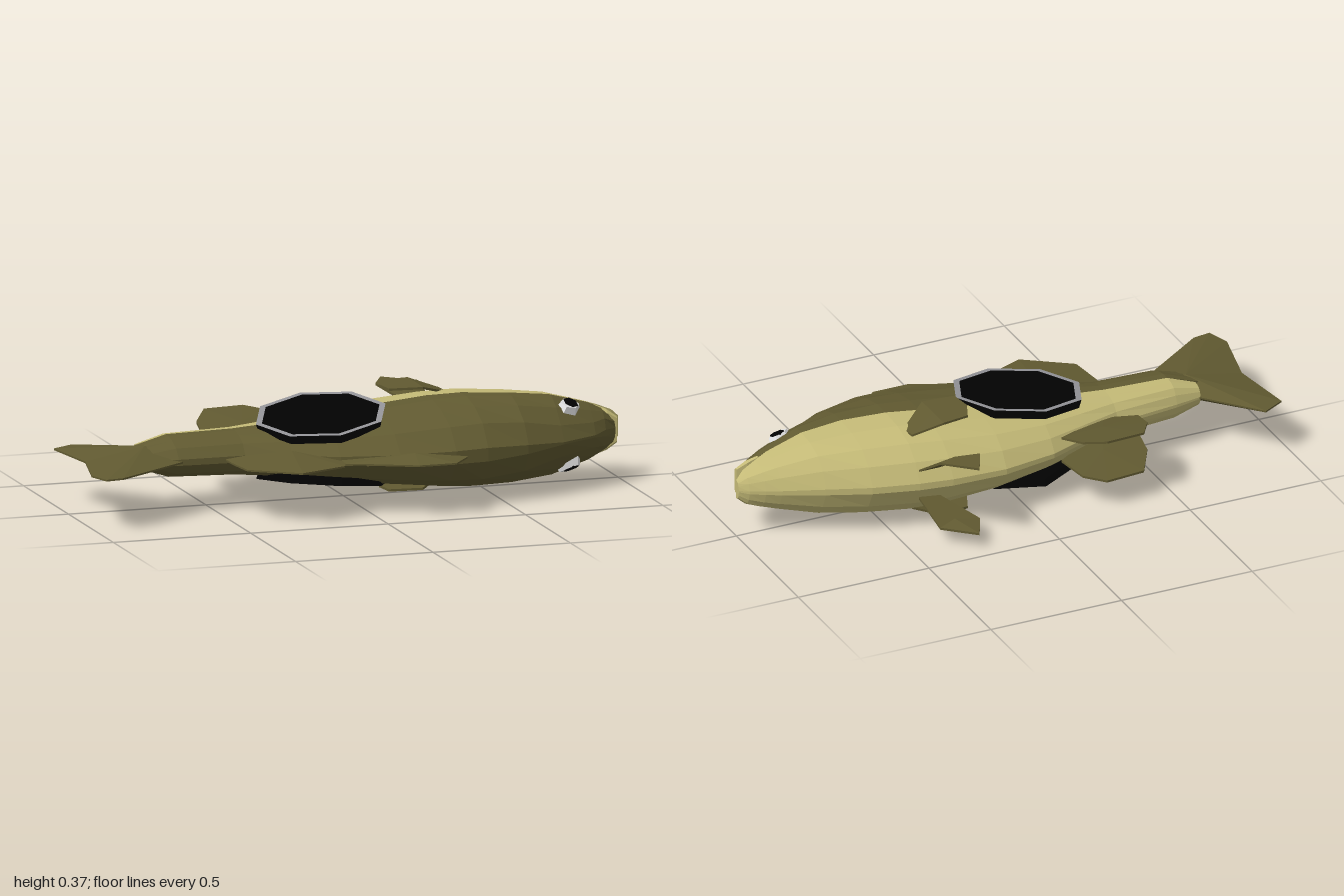
import * as THREE from 'three';

const mat = (name, color) => {
  const m = new THREE.MeshStandardMaterial({ color });
  m.name = name;
  return m;
};

// Unshared triangles give the faceted low-poly look
function facets(tris) {
  const g = new THREE.BufferGeometry();
  g.setAttribute('position', new THREE.Float32BufferAttribute(tris.flat(2), 3));
  g.computeVertexNormals();
  return g;
}
function faceted(geometry) {
  const g = geometry.toNonIndexed();
  g.computeVertexNormals();
  return g;
}

// Closed skin over equal rings running towards +x
function loft(rings) {
  const tris = [], n = rings[0].length;
  for (let i = 0; i < rings.length - 1; i++) {
    for (let j = 0; j < n; j++) {
      const k = (j + 1) % n;
      const a = rings[i][j], b = rings[i][k], c = rings[i + 1][k], d = rings[i + 1][j];
      tris.push([a, b, c], [a, c, d]);
    }
  }
  const first = rings[0], last = rings[rings.length - 1];
  for (let j = 1; j < n - 1; j++) {
    tris.push([first[0], first[j + 1], first[j]], [last[0], last[j], last[j + 1]]);
  }
  return facets(tris);
}

// Half of the body: stations are [x, z of seam, z of outer edge, half thickness, sharpness]
function halfBody(stations, profile, sign) {
  return loft(stations.map(([x, seam, edge, half, sharp = 1]) => {
    const side = profile.map(([t, w]) => [x, sign * w ** sharp * half, seam + (edge - seam) * t]);
    const other = side.map(([px, y, z]) => [px, -y, z]).reverse();
    return side.concat(other);
  }));
}

// Fin: two fans from a thick root point to an outline with a thin rim; height gives y
function finGeometry(outline, root, thick, rim = 0.003, height = () => 0) {
  let area = 0;
  outline.forEach(([x, z], i) => {
    const [x2, z2] = outline[(i + 1) % outline.length];
    area += x * z2 - x2 * z;
  });
  const pts = area > 0 ? [...outline].reverse() : outline;
  const at = ([x, z], offset) => [x, height(x, z) + offset, z];
  const tris = [];
  pts.forEach((p, i) => {
    const q = pts[(i + 1) % pts.length];
    const pt = at(p, rim), qt = at(q, rim), pb = at(p, -rim), qb = at(q, -rim);
    tris.push([at(root, thick), pt, qt], [at(root, -thick), qb, pb], [pt, pb, qb], [pt, qb, qt]);
  });
  return facets(tris);
}

export function createModel() {
  const olive = mat('olive skin', 0x615a31);
  const tan = mat('pale belly', 0xc4ba77);
  const black = mat('black', 0x020202);
  const grey = mat('grey rim', 0x949498);
  const white = mat('eye white', 0xe4e4e4);

  const model = new THREE.Group();
  model.name = 'fish';
  const fish = new THREE.Group();
  fish.name = 'fishLyingOnSide';
  fish.position.y = 0.185;
  model.add(fish);
  const add = (name, geometry, material, parent = fish) => {
    const m = new THREE.Mesh(geometry, material);
    m.name = name;
    parent.add(m);
    return m;
  };

  // Back and upper jaw
  add('back', halfBody([
    [-0.76, -0.03, 0.10, 0.035], [-0.64, -0.02, 0.128, 0.072], [-0.4, -0.015, 0.135, 0.078],
    [-0.25, -0.01, 0.2, 0.09], [-0.1, -0.01, 0.28, 0.106], [0.1, -0.01, 0.335, 0.13],
    [0.3, 0, 0.345, 0.152], [0.42, 0.02, 0.33, 0.159], [0.58, 0.045, 0.29, 0.153, 1.2],
    [0.73, 0.047, 0.228, 0.138, 1.9], [0.87, 0.037, 0.15, 0.1, 1.7], [0.92, 0.034, 0.11, 0.078],
    [0.97, 0.054, 0.066, 0.045],
  ], [[0, 1], [0.22, 1], [0.5, 0.88], [0.8, 0.62], [1, 0.15]], 1), olive);

  // Pale lip around the upper jaw
  add('upperLip', halfBody([
    [0.9, 0.032, 0.05, 0.088], [0.94, 0.036, 0.066, 0.072], [0.975, 0.05, 0.067, 0.047],
  ], [[0, 1], [0.6, 1], [1, 0.85]], 1), tan);

  // Belly and lower jaw
  add('belly', halfBody([
    [-0.74, -0.035, -0.08, 0.04], [-0.64, -0.02, -0.1, 0.072], [-0.4, -0.015, -0.13, 0.078],
    [-0.25, -0.01, -0.19, 0.09], [-0.1, -0.01, -0.25, 0.106], [0.1, -0.01, -0.285, 0.13],
    [0.3, 0, -0.277, 0.152], [0.42, 0.02, -0.258, 0.159], [0.58, 0.045, -0.215, 0.153],
    [0.73, 0.047, -0.155, 0.138], [0.87, 0.037, -0.095, 0.1], [0.92, 0.024, -0.072, 0.083],
    [0.97, 0.013, -0.045, 0.062], [1.0, 0.002, -0.02, 0.035],
  ], [[0, 1], [0.35, 0.96], [0.68, 0.8], [0.87, 0.5], [1, 0.08]], -1), tan);

  // Forked tail
  add('tailFin', finGeometry([
    [-0.7, -0.06], [-0.74, -0.085], [-0.9, -0.27], [-0.98, -0.225], [-0.945, 0.02],
    [-0.997, 0.25], [-0.97, 0.335], [-0.905, 0.325], [-0.62, 0.125], [-0.6, 0.08],
  ], [-0.73, 0.02], 0.045), olive);

  // Two fins along the back
  add('rearDorsalFin', finGeometry([
    [-0.47, 0.1], [-0.47, 0.195], [-0.455, 0.325], [-0.29, 0.44], [-0.115, 0.37],
    [-0.09, 0.3], [-0.15, 0.2], [-0.35, 0.1],
  ], [-0.25, 0.19], 0.03), olive);
  add('frontDorsalFin', finGeometry([
    [-0.12, 0.26], [-0.1, 0.335], [-0.035, 0.36], [0.135, 0.44], [0.27, 0.44],
    [0.335, 0.355], [0.36, 0.3],
  ], [0.15, 0.34], 0.026), olive);

  for (const side of [1, -1]) {
    const label = side > 0 ? 'upper' : 'lower';

    // Paired fins, spread away from the belly
    add(label + 'AnalFin', finGeometry([
      [-0.46, -0.165], [-0.45, -0.26], [-0.39, -0.36], [-0.245, -0.37], [-0.175, -0.32],
      [-0.14, -0.22], [-0.35, -0.11],
    ], [-0.3, -0.22], 0.01, 0.004, (x, z) => side * (0.03 + 0.21 * (-z - 0.15))), olive);
    add(label + 'PelvicFin', finGeometry([
      [0.28, -0.445], [0.385, -0.35], [0.415, -0.24], [0.35, -0.235], [0.23, -0.345],
    ], [0.32, -0.33], 0.01, 0.004,
    (x, z) => side * Math.min(0.127, 0.05 + 0.75 * (-z - 0.235))), olive);
    add(label + 'PectoralFin', finGeometry([
      [0.16, -0.09], [0.19, -0.16], [0.29, -0.175], [0.395, -0.145], [0.405, -0.09],
      [0.29, 0], [0.17, -0.01],
    ], [0.29, -0.09], 0.005, 0.004,
    (x) => side * Math.min(0.178, 0.14 + 0.36 * (0.4 - x))), olive);

    // Eight-sided disc set into the flank
    const disc = new THREE.Group();
    disc.name = label + 'Disc';
    disc.position.set(-0.095, side * 0.117, 0.04);
    disc.rotation.set(side > 0 ? 0.12 : Math.PI - 0.12, 0, 0.095);
    fish.add(disc);
    const drum = add('discDrum', faceted(new THREE.CylinderGeometry(0.235, 0.228, 0.028, 8)), black, disc);
    drum.position.y = -0.014;
    const rim = add('discRim', new THREE.RingGeometry(0.214, 0.236, 8).rotateX(-Math.PI / 2), grey, disc);
    rim.position.y = 0.003;

    // Eye: a raised white stud with a thin pupil plate on its outer face
    const eye = new THREE.Group();
    eye.name = label + 'Eye';
    eye.position.set(0.782, side * 0.097, 0.107);
    eye.rotation.set(side > 0 ? 0.4 : Math.PI - 0.4, 0, -0.25);
    fish.add(eye);
    const ball = add('eyeball', faceted(new THREE.CylinderGeometry(0.04, 0.06, 0.042, 6)), white, eye);
    ball.rotation.y = Math.PI / 6;
    ball.scale.z = 0.75;
    const pupil = add('pupil', faceted(new THREE.CylinderGeometry(0.026, 0.028, 0.006, 6)), black, eye);
    pupil.position.set(0.004, 0.022, -0.003);
  }
  return model;
}
